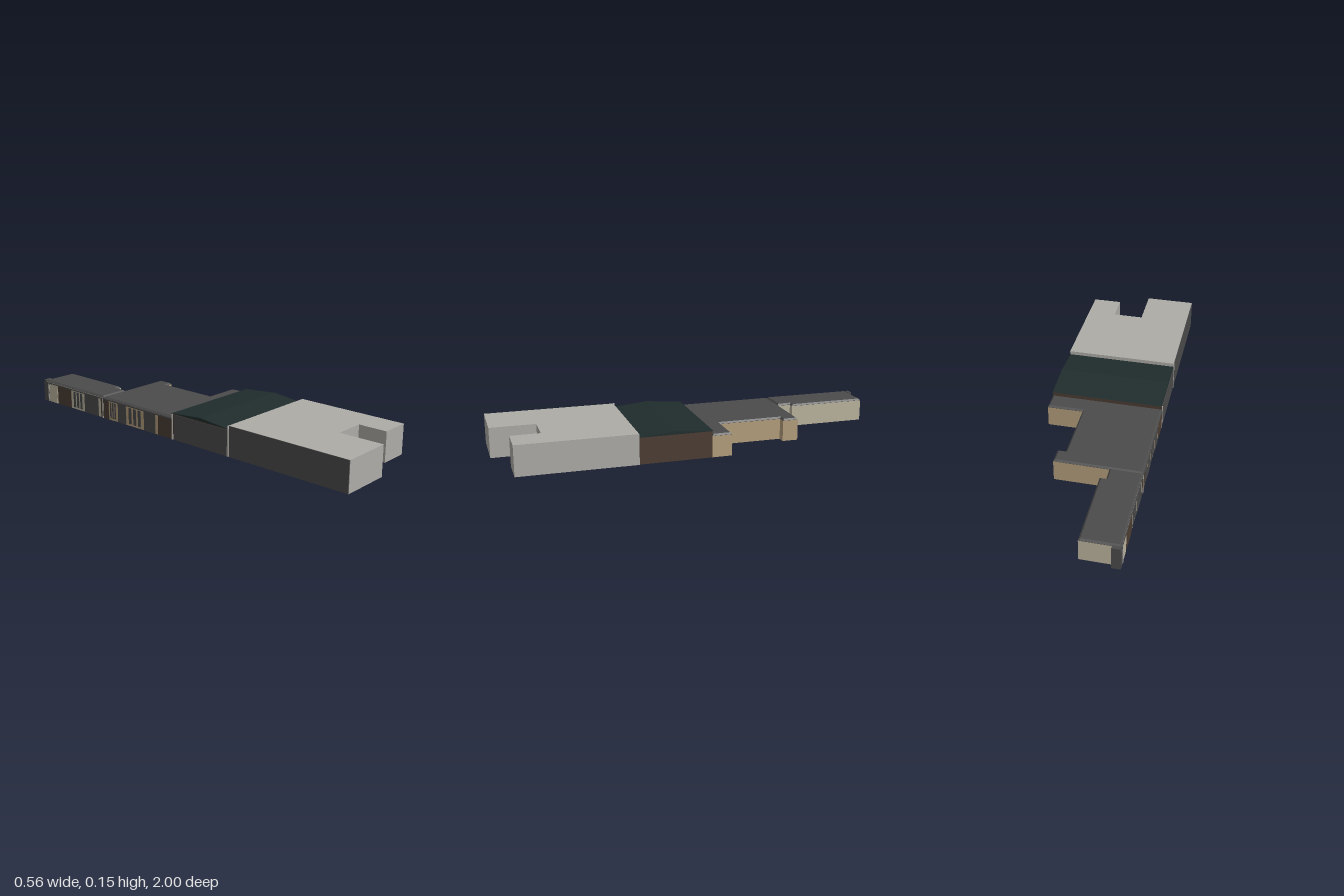
import * as THREE from 'three';

const mat = (name, color) => Object.assign(new THREE.MeshStandardMaterial({ color }), { name });

export function createModel() {
  const grey = mat('pale grey concrete', 0xaeaca7);
  const dark = mat('dark grey', 0x4b4b4b);
  const brown = mat('brown brick', 0x4c3d32);
  const teal = mat('dark green slate', 0x202d2d);
  const tan = mat('tan render', 0xb59f7d);
  const cream = mat('cream render', 0xbcb59f);

  const model = new THREE.Group();
  model.name = 'terraceOfBuildings';

  const add = (name, geometry, material) => {
    const mesh = new THREE.Mesh(geometry, material);
    mesh.name = name;
    model.add(mesh);
    return mesh;
  };

  // Upright block from an [x, z] plan; an inset gives the top a chamfered edge
  const block = (name, plan, y0, y1, material, inset = 0) => {
    const shape = new THREE.Shape(plan.map(([x, z]) => new THREE.Vector2(x, -z)));
    const g = new THREE.ExtrudeGeometry(shape, {
      depth: y1 - y0 - inset,
      bevelEnabled: inset > 0, bevelSegments: 1,
      bevelThickness: inset, bevelSize: inset, bevelOffset: -inset,
    });
    g.rotateX(-Math.PI / 2);
    g.translate(0, y0, 0);
    return add(name, g, material);
  };

  // Thin plate on the street side (x = -0.28)
  const plate = (name, z0, z1, y0, y1, material, thick = 0.002) => {
    const g = new THREE.BoxGeometry(thick, y1 - y0, z1 - z0);
    g.translate(-0.279 - thick / 2, (y0 + y1) / 2, (z0 + z1) / 2);
    return add(name, g, material);
  };

  const L = -0.279, R = 0.28;

  // Front building with its notch
  block('frontBuilding', [
    [L, 0.345], [R, 0.345], [R - 0.003, 0.92], [0.13, 0.92], [0.13, 0.775],
    [-0.025, 0.775], [-0.025, 1], [L, 1],
  ], 0, 0.15, grey);
  plate('frontBuildingFacade', 0.35, 0.998, 0, 0.149, dark);

  // Middle building and its low gable roof
  block('middleBuilding', [[L, -0.012], [R - 0.003, -0.012], [R - 0.003, 0.345], [L, 0.345]], 0, 0.131, brown);
  const gable = new THREE.Shape([
    new THREE.Vector2(0.017, 0.131), new THREE.Vector2(-0.345, 0.131), new THREE.Vector2(-0.17, 0.148),
  ]);
  const gableGeo = new THREE.ExtrudeGeometry(gable, { depth: 0.557, bevelEnabled: false });
  gableGeo.rotateY(-Math.PI / 2);
  gableGeo.scale(-1, 1, -1);
  gableGeo.translate(L, 0, 0);
  add('middleRoof', gableGeo, teal);
  plate('middleFacade', 0.0, 0.34, 0, 0.128, dark);

  // Stepped tan building
  const tanPlan = [
    [L, -0.51], [0.14, -0.51], [0.14, -0.43], [0.1, -0.43],
    [0.1, -0.11], [0.277, -0.11], [0.277, -0.012], [L, -0.012],
  ];
  block('tanBuilding', tanPlan, 0, 0.106, tan);
  block('tanBuildingRoof', tanPlan, 0.1055, 0.115, dark, 0.008);

  // Narrow cream building at the rear
  const creamPlan = [
    [L, -0.98], [-0.095, -0.98], [-0.095, -0.58], [-0.125, -0.58], [-0.125, -0.51], [L, -0.51],
  ];
  block('creamBuilding', creamPlan, 0, 0.108, cream);
  block('creamBuildingRoof', creamPlan, 0.1075, 0.117, dark, 0.008);
  block('rearPier', [[L, -1], [-0.24, -1], [-0.24, -0.98], [L, -0.98]], 0, 0.115, dark);

  // Shopfronts along the street side
  const bays = [
    [-1.0, -0.955, dark], [-0.955, -0.89, cream], [-0.88, -0.77, brown], [-0.66, -0.55, dark],
    [-0.53, -0.47, brown], [-0.4, -0.34, dark], [-0.21, -0.13, dark], [-0.11, -0.014, brown],
  ];
  for (const [z0, z1, m] of bays) plate('shopfront', z0, z1, 0, 0.1, m);

  // Groups of narrow dark windows between the shopfronts
  for (const [z0, z1] of [[-0.75, -0.67], [-0.46, -0.41], [-0.32, -0.22]]) {
    const n = 3, step = (z1 - z0) / n;
    for (let i = 0; i < n; i++) {
      plate('narrowWindow', z0 + i * step, z0 + (i + 0.6) * step, 0.01, 0.095, dark);
    }
  }

  // Pale trim on party walls
  for (const [z, h] of [[-0.96, 0.1], [-0.515, 0.105], [-0.012, 0.128], [0.342, 0.15]]) {
    plate('partyWallTrim', z - 0.004, z + 0.004, 0, h, grey, 0.004);
  }
  plate('corniceBand', -0.98, -0.014, 0.1, 0.106, dark, 0.003);
  return model;
}
